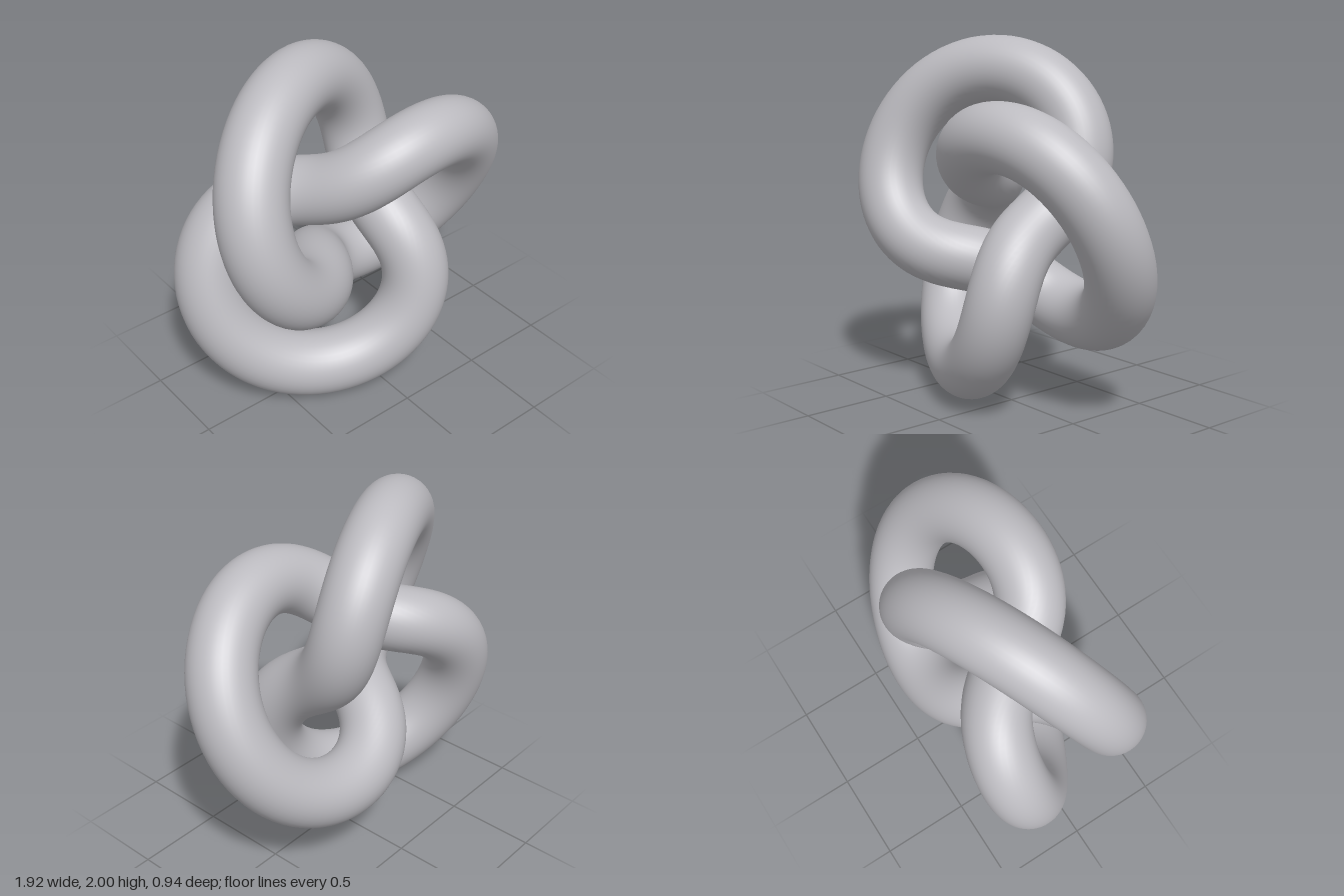
import * as THREE from 'three';

const SCALE = 0.2885; // half the knot's ring radius, also its depth amplitude
const TUBE_RADIUS = 0.184;

export function createModel() {
  const model = new THREE.Group();
  model.name = 'trefoilKnot';

  const grey = new THREE.MeshStandardMaterial({ color: 0xbcbbc0 });
  grey.name = 'pale grey';

  // One closed tube winding twice around the axis with three lobes
  const geometry = new THREE.TorusKnotGeometry(SCALE * 2, TUBE_RADIUS, 256, 40, 2, 3);
  const knot = new THREE.Mesh(geometry, grey);
  knot.name = 'knotTube';

  // Centre the bounds on x and z, and stand the lowest lobe on the ground
  geometry.computeBoundingBox();
  const { min, max } = geometry.boundingBox;
  knot.position.set(-(min.x + max.x) / 2, -min.y, -(min.z + max.z) / 2);

  model.add(knot);
  return model;
}
